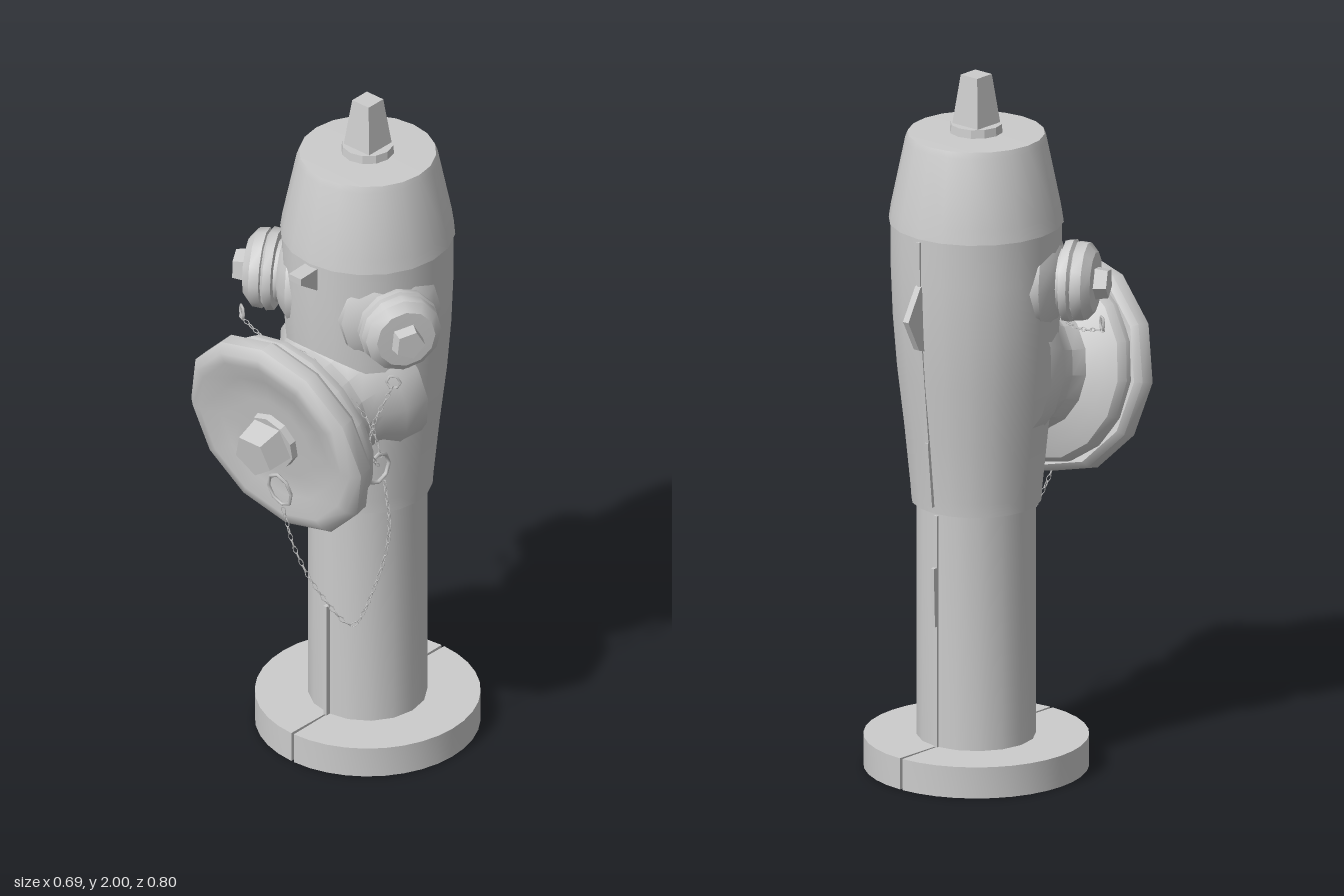
import * as THREE from 'three';
import { mergeGeometries, toCreasedNormals } from 'three/addons/utils/BufferGeometryUtils.js';

const grey = new THREE.MeshStandardMaterial({ color: 0xcccccc, side: THREE.DoubleSide });
const UP = new THREE.Vector3(0, 1, 0);
const AX = 0.005, AZ = -0.082; // axis of the column

function add(parent, name, geo, x = 0, y = 0, z = 0) {
  const m = new THREE.Mesh(geo, grey);
  m.name = name;
  m.position.set(x, y, z);
  parent.add(m);
  return m;
}

// Turned part: [radius, height] pairs from bottom to top
function turned(profile, sides, crease = 0.62) {
  const pts = profile.map(([r, y]) => new THREE.Vector2(r, y));
  return toCreasedNormals(new THREE.LatheGeometry(pts, sides), crease);
}

// Sharp-edged prism with n sides
const prism = (rTop, rBottom, h, n) => toCreasedNormals(new THREE.CylinderGeometry(rTop, rBottom, h, n), 0.4);

// Group whose local y points along dir
function aimed(parent, name, pos, dir) {
  const g = new THREE.Group();
  g.name = name;
  g.position.set(...pos);
  g.quaternion.setFromUnitVectors(UP, new THREE.Vector3(...dir).normalize());
  parent.add(g);
  return g;
}

// Chain of small links, alternately turned, along a smooth path
function chain(parent, name, path) {
  const curve = new THREE.CatmullRomCurve3(path.map(p => new THREE.Vector3(...p)));
  const n = Math.round(curve.getLength() / 0.021);
  const links = [];
  for (let i = 0; i <= n; i++) {
    const q = new THREE.Quaternion().setFromUnitVectors(UP, curve.getTangentAt(i / n));
    links.push(new THREE.TorusGeometry(0.009, 0.0018, 4, 6)
      .scale(0.65, 1.3, 1)
      .rotateY(i % 2 ? Math.PI / 2 : 0)
      .applyQuaternion(q)
      .translate(...curve.getPointAt(i / n).toArray()));
  }
  add(parent, name, mergeGeometries(links));
}

// Thin vertical seam strip between two heights, following the surface
function seam(parent, name, y0, z0, y1, z1, depth = 0.02) {
  const len = Math.hypot(y1 - y0, z1 - z0);
  const m = add(parent, name, new THREE.BoxGeometry(0.012, len, depth), AX, (y0 + y1) / 2, (z0 + z1) / 2);
  m.rotation.x = Math.atan2(z1 - z0, y1 - y0);
}

// Side profile in (z, y) given a thickness along x
function sideTab(parent, name, pts, width) {
  const shape = new THREE.Shape(pts.map(([z, y]) => new THREE.Vector2(-z, y)));
  const geo = new THREE.ExtrudeGeometry(shape, { depth: width, bevelEnabled: false });
  geo.translate(0, 0, -width / 2).rotateY(Math.PI / 2);
  add(parent, name, geo, AX, 0, 0);
}

export function createModel() {
  const model = new THREE.Group();
  model.name = 'hydrant';

  // Base flange in two halves with a narrow split front and back
  const half = new THREE.Shape();
  const a = Math.PI / 2 - 0.015;
  half.absarc(0, 0, 0.312, -a, a, false);
  half.absarc(0, 0, 0.155, a, -a, true);
  const halfGeo = toCreasedNormals(new THREE.ExtrudeGeometry(half,
    { depth: 0.09, bevelEnabled: false, curveSegments: 9 }).rotateX(-Math.PI / 2), 0.6);
  for (const turn of [0, Math.PI]) {
    add(model, 'baseFlange', halfGeo, AX, 0, AZ).rotation.y = turn;
  }

  // Column, barrel and bonnet
  add(model, 'column', turned([[0, 0.002], [0.165, 0.002], [0.165, 0.78]], 16), AX, 0, AZ);
  add(model, 'barrel', turned([[0.16, 0.765], [0.18, 0.77], [0.183, 0.81], [0.2, 0.98], [0.22, 1.15],
    [0.232, 1.3], [0.238, 1.45], [0.238, 1.58]], 20), AX, 0, AZ);
  add(model, 'bonnet', turned([[0.22, 1.575], [0.243, 1.58], [0.237, 1.62], [0.197, 1.815], [0.19, 1.833],
    [0, 1.838]], 20), AX, 0, AZ);

  // Operating nut on top
  add(model, 'topWasher', prism(0.072, 0.075, 0.03, 12), AX, 1.845, AZ);
  add(model, 'topNut', prism(0.043, 0.067, 0.145, 4), AX, 1.9275, AZ).rotation.y = Math.PI / 4;

  // Large front outlet, tipped slightly downward
  const outlet = aimed(model, 'frontOutlet', [AX, 1.077, 0.322], [0, -0.19, 0.98]);
  add(outlet, 'outletNeck', turned([[0.25, -0.38], [0.235, -0.31], [0.195, -0.26], [0.18, -0.21],
    [0.19, -0.165], [0.235, -0.145], [0.272, -0.125], [0.284, -0.1], [0.28, -0.07]], 16));
  add(outlet, 'outletCap', turned([[0.27, -0.078], [0.295, -0.082], [0.312, -0.065], [0.314, -0.025], [0.29, -0.003],
    [0.26, 0], [0.2, -0.018], [0.13, -0.022], [0, -0.015]], 12, 0.8));
  add(outlet, 'outletWasher', prism(0.083, 0.085, 0.02, 10), 0, -0.008, 0);
  add(outlet, 'outletNut', prism(0.066, 0.078, 0.085, 5), 0, 0.035, 0);
  const loop = new THREE.TorusGeometry(0.042, 0.005, 5, 8).scale(1, 1.25, 1).rotateX(Math.PI / 2);
  add(outlet, 'capLoop', loop, 0.015, 0.008, 0.16);

  // Pair of smaller side outlets
  for (const s of [1, -1]) {
    const side = aimed(model, 'sideOutlet', [AX, 1.42, AZ], [s * 0.87, 0, 0.5]);
    add(side, 'sideNeck', turned([[0.15, 0.17], [0.145, 0.205], [0.115, 0.228], [0.09, 0.24], [0.09, 0.25],
      [0.114, 0.252], [0.117, 0.275], [0.104, 0.284]], 12, 0.7));
    add(side, 'sideCap', turned([[0.1, 0.28], [0.113, 0.286], [0.11, 0.315], [0.085, 0.337], [0, 0.34]], 12, 0.7));
    add(side, 'sideNut', prism(0.043, 0.05, 0.045, 5), 0, 0.352, 0);
    const hook = new THREE.TorusGeometry(0.02, 0.004, 4, 6);
    add(model, 'chainHook', hook, s * 0.28, 1.29, 0.12).rotation.y = s * 0.6;
  }

  // Chains and the ring that gathers them
  add(model, 'chainRing', new THREE.TorusGeometry(0.045, 0.006, 5, 8), 0.215, 0.98, 0.11).rotation.y = Math.PI / 2;
  chain(model, 'capChain', [[0.025, 0.85, 0.29], [0.06, 0.73, 0.28], [0.12, 0.59, 0.24], [0.19, 0.5, 0.19],
    [0.235, 0.62, 0.15], [0.265, 0.8, 0.12], [0.24, 0.94, 0.11]]);
  chain(model, 'leftChain', [[0.28, 1.27, 0.13], [0.25, 1.16, 0.17], [0.23, 1.06, 0.16], [0.22, 1.0, 0.12]]);
  chain(model, 'rightChain', [[-0.28, 1.27, 0.12], [-0.16, 1.25, 0.14], [0, 1.29, 0.17], [0.12, 1.24, 0.17],
    [0.2, 1.13, 0.13], [0.215, 1.02, 0.1]]);

  // Lugs front and back
  sideTab(model, 'frontLug', [[0.1, 1.57], [0.1, 1.5], [0.155, 1.5], [0.22, 1.545], [0.22, 1.565]], 0.045);
  sideTab(model, 'backLug', [[-0.3, 1.45], [-0.325, 1.44], [-0.375, 1.35], [-0.33, 1.26], [-0.3, 1.25]], 0.02);

  // Casting seams
  seam(model, 'frontSeam', 0.09, 0.085, 0.44, 0.085);
  seam(model, 'backSeam', 0.09, -0.246, 0.76, -0.246, 0.012);
  seam(model, 'backSeamRidge', 0.44, -0.25, 0.61, -0.255, 0.02);
  seam(model, 'barrelSeam', 0.79, -0.264, 0.98, -0.282, 0.016);
  seam(model, 'barrelSeam', 0.98, -0.282, 1.3, -0.313, 0.01);
  seam(model, 'barrelSeam', 1.3, -0.314, 1.57, -0.32, 0.01);
  return model;
}
